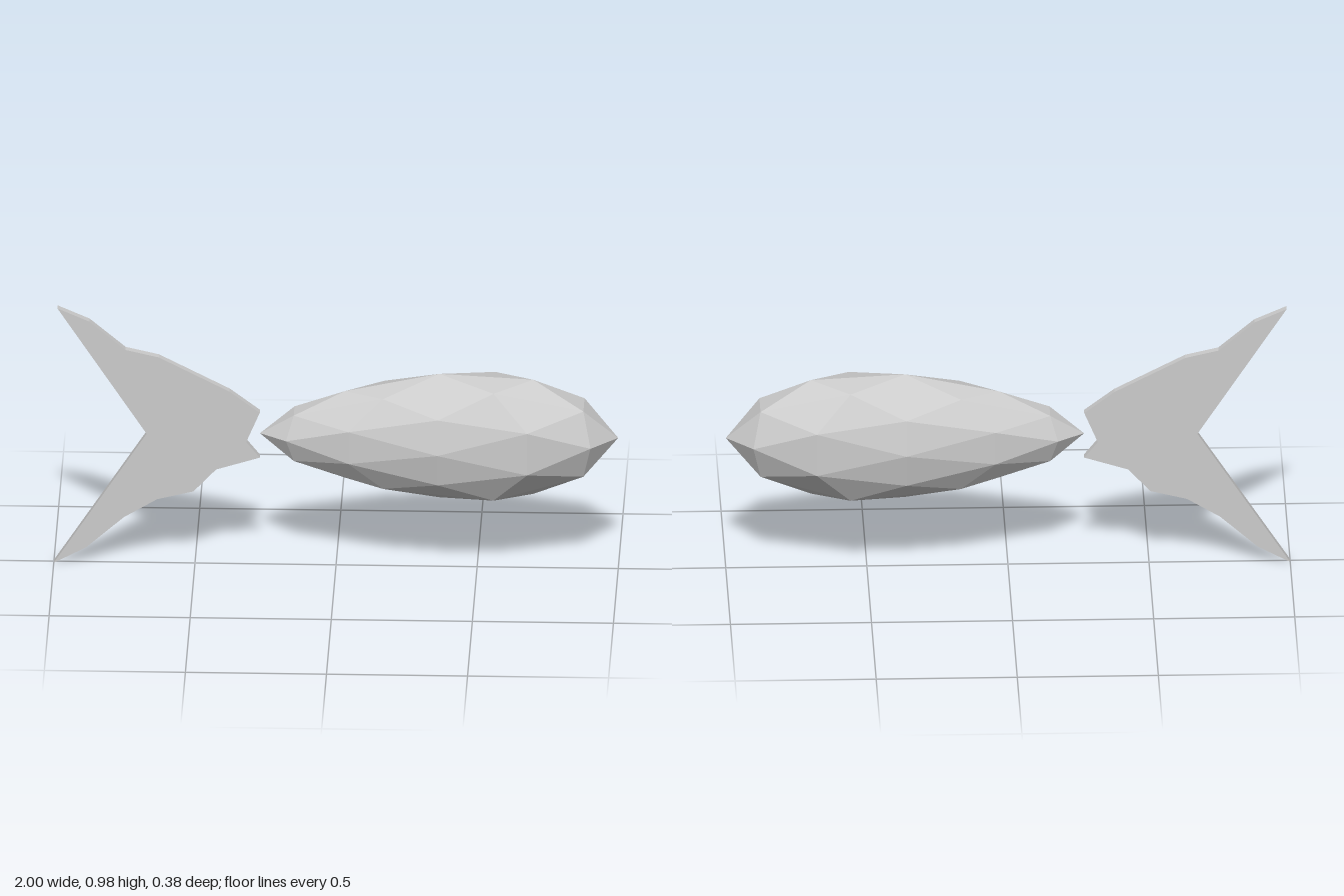
import * as THREE from 'three';

const material = new THREE.MeshStandardMaterial({ color: 0xcccccc, flatShading: true });

// Faceted body: a low-poly sphere, fuller toward the nose and tapered toward the tail
function createBody() {
  const geometry = new THREE.IcosahedronGeometry(1, 1);
  const p = geometry.attributes.position;
  for (let i = 0; i < p.count; i++) {
    const x = p.getX(i);
    const taper = 1 + 0.29 * x - 0.16 * x * x - 0.14 * x * x * x;
    p.setXYZ(i, x * 0.635, p.getY(i) * 0.237 * taper, p.getZ(i) * 0.188 * taper);
  }
  geometry.computeVertexNormals();
  const body = new THREE.Mesh(geometry, material);
  body.name = 'body';
  body.position.set(0.365, 0.502, 0);
  return body;
}

// Flat forked tail fin with a ragged outline
function createTailFin() {
  const outline = [
    [-1, 0], [-0.885, 0.061], [-0.751, 0.179], [-0.634, 0.249], [-0.505, 0.281],
    [-0.425, 0.366], [-0.27, 0.414], [-0.318, 0.473], [-0.27, 0.586], [-0.377, 0.666],
    [-0.628, 0.794], [-0.746, 0.821], [-0.874, 0.928], [-0.987, 0.977], [-0.671, 0.5],
  ].map(([x, y]) => new THREE.Vector2(x, y));
  const thickness = 0.029;
  const geometry = new THREE.ExtrudeGeometry(new THREE.Shape(outline), {
    depth: thickness, bevelEnabled: false,
  });
  geometry.translate(0, 0, -thickness / 2);
  const fin = new THREE.Mesh(geometry, material);
  fin.name = 'tailFin';
  return fin;
}

export function createModel() {
  const model = new THREE.Group();
  model.name = 'fish';
  model.add(createBody(), createTailFin());
  return model;
}
